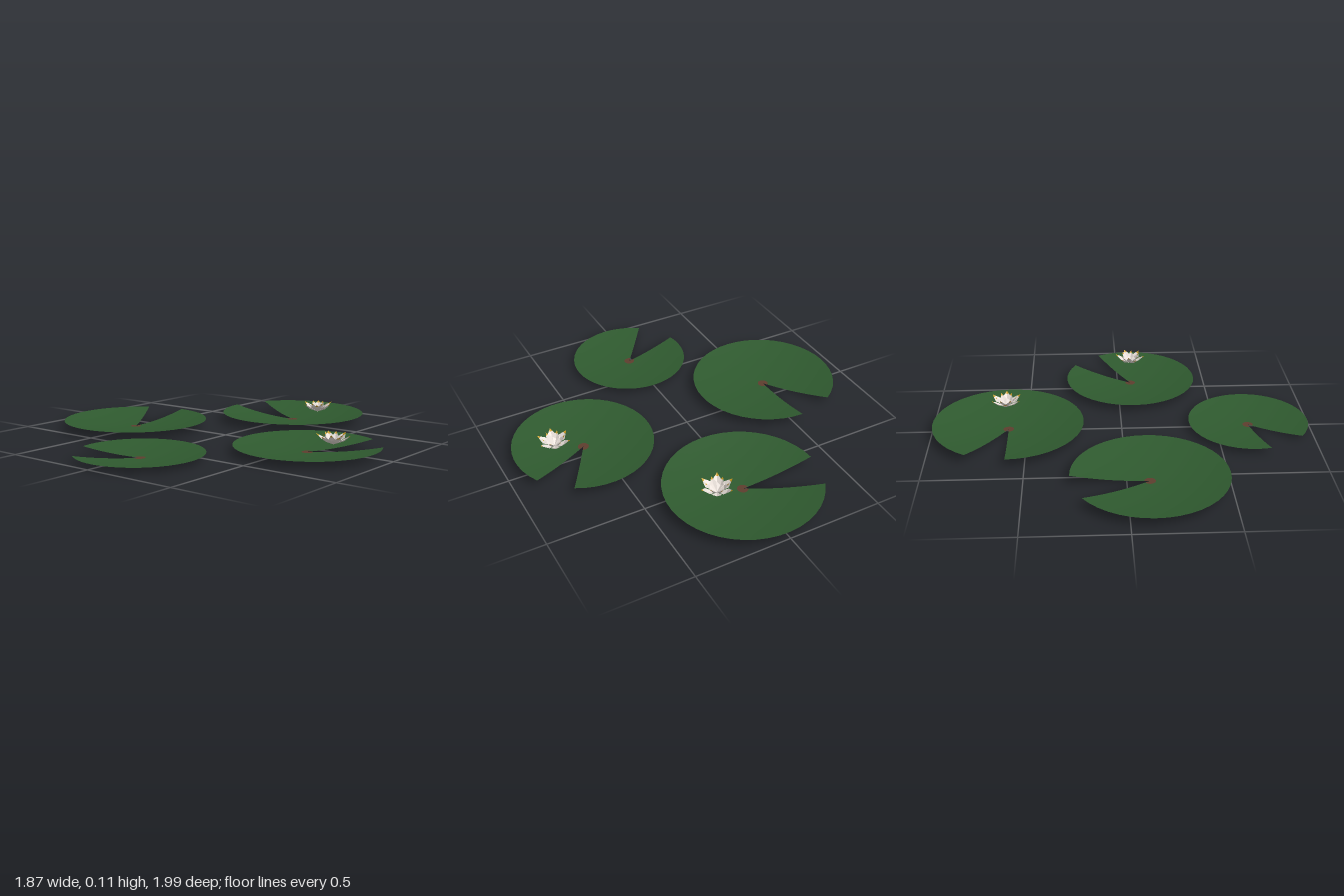
import * as THREE from 'three';

const deg = Math.PI / 180;
const mat = (name, color, flatShading = false) =>
  Object.assign(new THREE.MeshStandardMaterial({ color, side: THREE.DoubleSide, flatShading }), { name });

export function createModel() {
  const leafGreen = mat('leaf green', 0x2f5a2f);
  const heartBrown = mat('heart brown', 0x5e3e2e);
  const petalWhite = mat('petal white', 0xe8dfd8, true);
  const tipGold = mat('tip gold', 0xd0a024, true);

  const model = new THREE.Group();
  model.name = 'waterLilies';

  const addMesh = (parent, name, geometry, material) => {
    const mesh = new THREE.Mesh(geometry, material);
    mesh.name = name;
    parent.add(mesh);
    return mesh;
  };

  // Shallow dish, y = k r^2, swept from angle a0 to a1 (measured from +x towards +z)
  const dish = (r0, r1, a0, a1, steps) => {
    const profile = [];
    for (let i = 0; i <= steps; i++) {
      const r = r0 + (r1 - r0) * i / steps;
      profile.push(new THREE.Vector2(r, 0.265 * r * r));
    }
    return new THREE.LatheGeometry(profile, 40, (90 - a1) * deg, (a1 - a0) * deg);
  };

  // Pads: x, z, radius, and the two edges of the notch
  const pads = [
    ['backPad', 0.015, -0.6, 0.399, 210, 539.5],
    ['rightPad', -0.547, 0.113, 0.39, 269.5, 598],
    ['leftPad', 0.567, 0.074, 0.366, 331, 660],
    ['frontPad', 0.014, 0.675, 0.318, 166.5, 486.5],
  ];
  for (const [name, x, z, radius, a0, a1] of pads) {
    const pad = new THREE.Group();
    pad.name = name;
    pad.position.set(x, 0, z);
    addMesh(pad, 'leaf', dish(0.028, radius, a0, a1, 8), leafGreen);
    addMesh(pad, 'leafHeart', dish(0, 0.028, a0, a1, 2), heartBrown);
    model.add(pad);
  }

  const triangles = (points, faces) => {
    const g = new THREE.BufferGeometry();
    g.setAttribute('position', new THREE.Float32BufferAttribute(faces.flatMap(i => points[i]), 3));
    g.computeVertexNormals();
    return g;
  };

  // Creased pointed petal along +x, with a separate coloured tip
  const petalShapes = (length, height, width) => {
    const m = length * 0.58, h = height * 0.42, t = 0.84;
    const mix = (a, b, k) => a.map((v, i) => v + (b[i] - v) * k);
    const base = [0, 0, 0], tip = [length, height, 0];
    const left = [m, h + 0.006, -width], right = [m, h + 0.006, width], mid = [m, h - 0.003, 0];
    const cut = p => mix(p, tip, (t - 0.58) / 0.42);
    const pts = [base, left, mid, right, cut(left), cut(mid), cut(right), tip];
    return [
      triangles(pts, [0, 2, 1, 0, 3, 2, 1, 2, 5, 1, 5, 4, 2, 3, 6, 2, 6, 5]),
      triangles(pts, [4, 5, 7, 5, 6, 7]),
    ];
  };

  // Flowers: two rings of six petals
  const rings = [
    { ring: 'outer', shapes: petalShapes(0.087, 0.05, 0.025), turn: 0 },
    { ring: 'inner', shapes: petalShapes(0.058, 0.055, 0.018), turn: 30 },
  ];
  for (const [name, x, z, turn] of [['backFlower', 0.173, -0.618, 0], ['leftFlower', 0.72, 0.08, 40]]) {
    const flower = new THREE.Group();
    flower.name = name;
    flower.position.set(x, 0.059, z);
    for (const { ring, shapes, turn: offset } of rings) {
      for (let i = 0; i < 6; i++) {
        const petal = new THREE.Group();
        petal.name = ring + 'Petal';
        petal.rotation.y = -(turn + offset + i * 60) * deg;
        addMesh(petal, 'petalBlade', shapes[0], petalWhite);
        addMesh(petal, 'petalTip', shapes[1], tipGold);
        flower.add(petal);
      }
    }
    model.add(flower);
  }
  return model;
}
